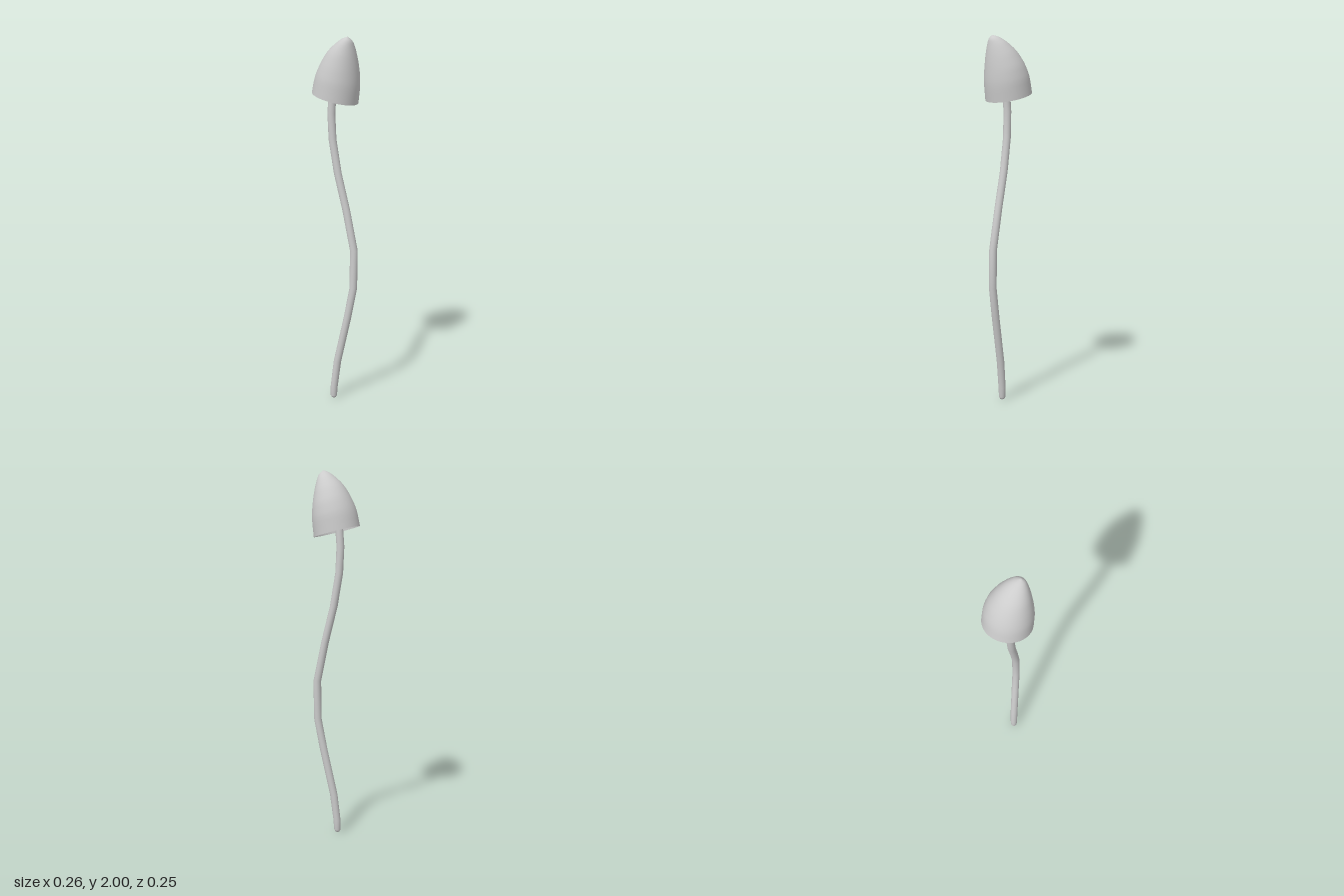
import * as THREE from 'three';
import { mergeVertices } from 'three/addons/utils/BufferGeometryUtils.js';

const material = new THREE.MeshStandardMaterial({ color: 0xcccccc, side: THREE.DoubleSide });

// Skins closed rings of points, listed from bottom to top, with smooth normals
function loft(name, rings) {
  const n = rings[0].length;
  const index = [];
  for (let i = 0; i < rings.length - 1; i++) {
    for (let j = 0; j < n; j++) {
      const a = i * n + j;
      const b = i * n + (j + 1) % n;
      index.push(a, a + n, b, b, a + n, b + n);
    }
  }
  let geometry = new THREE.BufferGeometry().setFromPoints(rings.flat());
  geometry.setIndex(index);
  geometry = mergeVertices(geometry, 1e-5);
  geometry.computeVertexNormals();
  const mesh = new THREE.Mesh(geometry, material);
  mesh.name = name;
  return mesh;
}

// Ellipse through a left point, a right point and a depth range; it may tilt sideways
function ring(left, right, back, front, sides) {
  const points = [];
  for (let j = 0; j < sides; j++) {
    const a = (j / sides) * Math.PI * 2;
    const t = (1 + Math.cos(a)) / 2;
    points.push(new THREE.Vector3(
      THREE.MathUtils.lerp(left[0], right[0], t),
      THREE.MathUtils.lerp(left[1], right[1], t),
      (front + back) / 2 + Math.sin(a) * (front - back) / 2
    ));
  }
  return points;
}

// Thin hollow cap, leaning so its tip sits off to one side
function createCap() {
  // left x, left y, right x, right y, back z, front z
  const sections = [
    [-0.133, 1.712, 0.11, 1.648, -0.127, 0.126],
    [-0.113, 1.795, 0.12, 1.74, -0.123, 0.124],
    [-0.08, 1.865, 0.12, 1.81, -0.107, 0.113],
    [-0.035, 1.928, 0.115, 1.885, -0.074, 0.095],
    [0.018, 1.972, 0.107, 1.945, -0.034, 0.073],
    [0.05, 1.991, 0.099, 1.978, -0.002, 0.056],
    [0.08, 2.0, 0.08, 2.0, 0.034, 0.034]
  ];
  const curve = (k) => new THREE.CatmullRomCurve3(
    sections.map((s) => new THREE.Vector3(s[k], s[k + 1], 0)));
  const leftSide = curve(0);
  const rightSide = curve(2);
  const depth = curve(4);
  const rings = [];
  const steps = 24;
  for (let i = 0; i <= steps; i++) {
    const l = leftSide.getPoint(i / steps);
    const r = rightSide.getPoint(i / steps);
    const d = depth.getPoint(i / steps);
    rings.push(ring([l.x, l.y], [r.x, r.y], d.x, d.y, 48));
  }
  return loft('cap', rings);
}

// Slender wavy stem with a rounded foot
function createStem() {
  // x, y, z, radius
  const sections = [
    [0, 0, 0.037, 0],
    [0, 0.003, 0.037, 0.012],
    [0, 0.015, 0.037, 0.018],
    [0.002, 0.07, 0.036, 0.02],
    [0.02, 0.22, 0.031, 0.021],
    [0.075, 0.48, 0.018, 0.021],
    [0.107, 0.655, 0.011, 0.021],
    [0.107, 0.865, 0.008, 0.021],
    [0.062, 1.08, 0.01, 0.021],
    [0.012, 1.28, 0.014, 0.021],
    [-0.018, 1.46, 0.017, 0.021],
    [-0.024, 1.6, 0.019, 0.021],
    [-0.016, 1.7, 0.02, 0.021],
    [0.0, 1.79, 0.02, 0.019],
    [0.002, 1.8, 0.02, 0]
  ];
  return loft('stem', sections.map(([x, y, z, r]) =>
    ring([x - r, y], [x + r, y], z - r, z + r, 20)));
}

export function createModel() {
  const model = new THREE.Group();
  model.name = 'mushroom';
  model.add(createStem(), createCap());
  return model;
}
